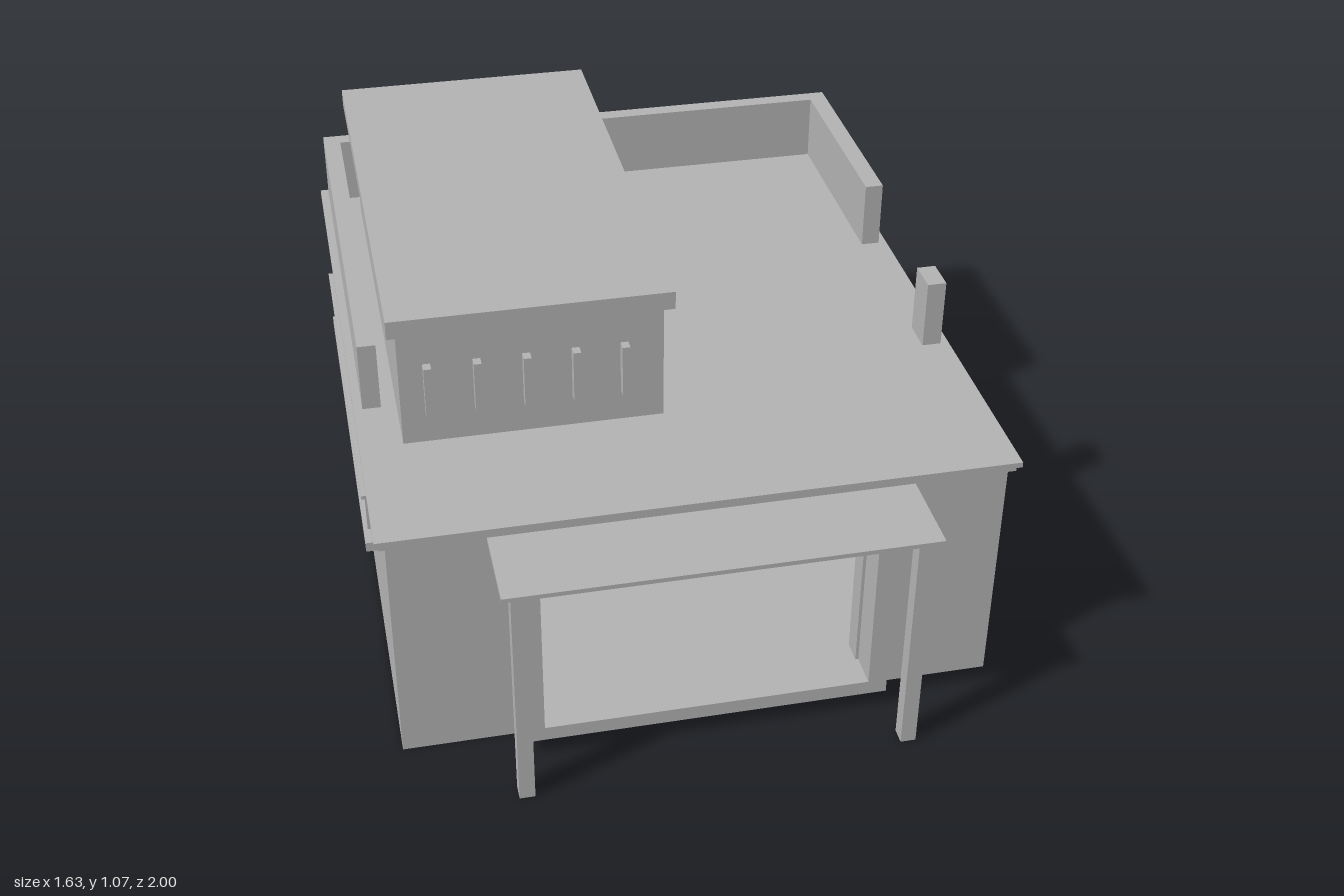
import * as THREE from 'three';

export function createModel() {
  const model = new THREE.Group();
  const grey = new THREE.MeshStandardMaterial({ color: 0xb2b2b2 });
  grey.name = 'plain grey';

  function add(name, geometry, parent = model) {
    const mesh = new THREE.Mesh(geometry, grey);
    mesh.name = name;
    parent.add(mesh);
    return mesh;
  }
  // Box given by its limits on each axis
  function box(name, x0, x1, y0, y1, z0, z1, parent) {
    const g = new THREE.BoxGeometry(x1 - x0, y1 - y0, z1 - z0);
    g.translate((x0 + x1) / 2, (y0 + y1) / 2, (z0 + z1) / 2);
    return add(name, g, parent);
  }
  function group(name) {
    const g = new THREE.Group();
    g.name = name;
    model.add(g);
    return g;
  }
  // Flat panel with one rectangular opening, extruded along z
  function panel(w0, w1, h0, h1, hole, depth) {
    const rect = (path, a, b, c, d) =>
      path.moveTo(a, c).lineTo(b, c).lineTo(b, d).lineTo(a, d).closePath();
    const shape = rect(new THREE.Shape(), w0, w1, h0, h1);
    shape.holes.push(rect(new THREE.Path(), ...hole));
    return new THREE.ExtrudeGeometry(shape, { depth, bevelEnabled: false });
  }

  // Hollow main storey
  const walls = group('mainWalls');
  const t = 0.06;
  box('floor', -0.78 + t, 0.78 - t, 0, 0.09, -0.97 + t, 0.76 - t, walls);
  box('backWall', -0.78, 0.78, 0, 0.66, -0.97, -0.97 + t, walls);
  const front = add('frontWall', panel(-0.78, 0.78, 0, 0.66, [-0.417, 0.417, 0.09, 0.605], t), walls);
  front.position.z = 0.76 - t;

  // Side walls with long windows, ledges and small posts
  for (const s of [-1, 1]) {
    const side = s < 0 ? 'right' : 'left';
    const wall = add(side + 'Wall',
      panel(-0.7, 0.91, 0, 0.66, [-0.347, 0.554, 0.442, 0.568], t), walls);
    wall.rotation.y = Math.PI / 2;
    wall.position.x = s > 0 ? 0.78 - t : -0.78;

    const win = group(side + 'Window');
    const sideBox = (name, out, y0, y1, z0, z1, inn = 0.78) =>
      box(name, s > 0 ? inn : -out, s > 0 ? out : -inn, y0, y1, z0, z1, win);
    sideBox('lowerLedge', 0.815, 0.413, 0.44, -0.663, 0.457);
    sideBox('upperLedge', 0.815, 0.58, 0.59, -0.663, 0.457);
    for (const z of [0.385, -0.593]) {
      sideBox('windowPost', 0.804, 0.44, 0.58, z - 0.014, z + 0.014, 0.787);
    }
    for (const z of [0.352, -0.559]) {
      sideBox('windowTrim', 0.784, 0.44, 0.58, z - 0.005, z + 0.005);
    }
    sideBox('windowHeadTrim', 0.784, 0.568, 0.58, -0.554, 0.347);
  }

  // Stepped cornice and roof deck
  box('lowerCornice', -0.795, 0.795, 0.66, 0.677, -0.99, 0.775);
  box('roofDeck', -0.806, 0.806, 0.677, 0.692, -1, 0.786);

  // Roof parapet, open at the front
  const parapet = group('parapet');
  box('backParapet', -0.783, 0.783, 0.692, 0.882, -0.979, -0.933, parapet);
  box('rightParapet', -0.783, -0.735, 0.692, 0.882, -0.933, 0.22, parapet);
  box('leftParapet', 0.732, 0.783, 0.692, 0.882, -0.933, -0.342, parapet);
  box('parapetPillar', 0.732, 0.783, 0.692, 0.882, 0.127, 0.22, parapet);

  // Upper storey with its overhanging roof and front fins
  const upper = group('upperStorey');
  box('upperWalls', -0.695, -0.025, 0.692, 1.025, -0.848, 0.395, upper);
  box('upperRoof', -0.718, -0.003, 1.025, 1.074, -0.888, 0.428, upper);
  for (let i = 0; i < 5; i++) {
    const x = -0.624 + i * 0.1245;
    box('fin', x - 0.01, x + 0.01, 0.78, 0.923, 0.395, 0.422, upper);
  }

  // Entrance surround
  const entrance = group('entranceFrame');
  box('sill', -0.425, 0.425, 0.05, 0.09, 0.76, 0.85, entrance);
  box('head', -0.475, 0.475, 0.615, 0.628, 0.76, 0.85, entrance);
  box('headCap', -0.48, 0.48, 0.628, 0.641, 0.76, 0.88, entrance);

  // Porch canopy on two posts
  const porch = group('porch');
  box('canopy', -0.536, 0.536, 0.641, 0.653, 0.76, 1, porch);
  for (const s of [-1, 1]) {
    const jamb = s * 0.45, post = s * 0.494;
    box('jamb', jamb - 0.025, jamb + 0.025, 0.05, 0.615, 0.76, 0.85, entrance);
    box('porchPost', post - 0.02, post + 0.02, 0, 0.641, 0.948, 0.99, porch);
  }

  // Furniture inside the room
  const room = group('furniture');
  box('rightTallCabinet', -0.58, -0.29, 0.09, 0.55, 0.045, 0.268, room);
  box('leftTallCabinet', 0.43, 0.6, 0.09, 0.52, 0.045, 0.29, room);
  for (const s of [-1, 1]) {
    box('lowCabinet', s > 0 ? 0.22 : -0.6, s > 0 ? 0.6 : -0.22, 0.09, 0.445, -0.26, 0.044, room);
    box('cabinetPanel', s > 0 ? 0.255 : -0.42, s > 0 ? 0.42 : -0.255, 0.3, 0.413, 0.044, 0.052, room);
  }

  return model;
}
